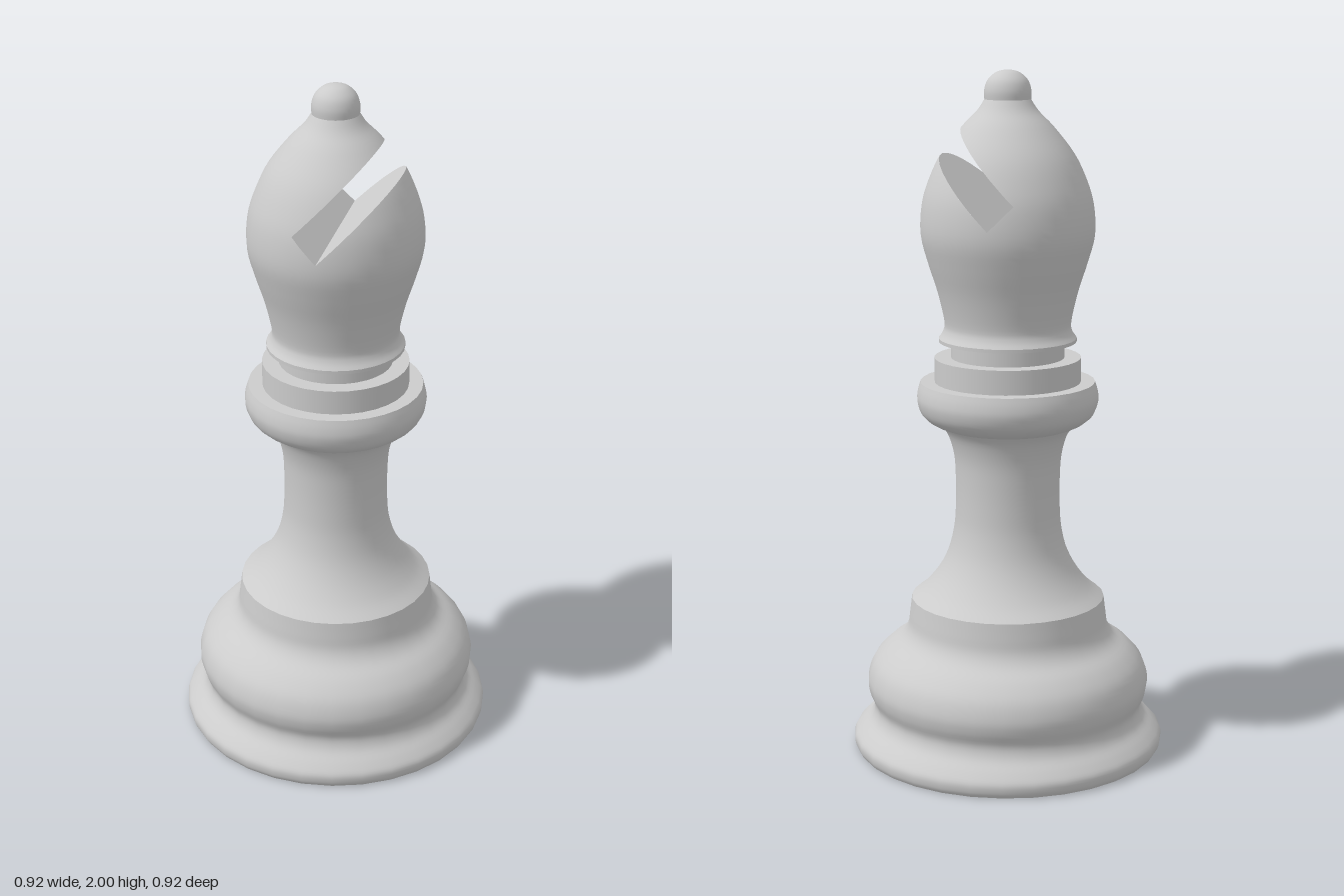
import * as THREE from 'three';
import { mergeGeometries } from 'three/addons/utils/BufferGeometryUtils.js';

const SIDES = 32;
const material = new THREE.MeshStandardMaterial({ color: 0xcccccc });

// Smooth curve through [radius, height] points; two points stay a straight line
function profile(pts, div = 4) {
  const v = pts.map(([r, y]) => new THREE.Vector2(r, y));
  if (v.length === 2) return v;
  const out = new THREE.SplineCurve(v).getPoints((v.length - 1) * div);
  out.forEach((p) => { p.x = Math.max(p.x, 0); });
  return out;
}

function lathe(points) {
  const g = new THREE.LatheGeometry(points, SIDES).toNonIndexed();
  g.deleteAttribute('uv');
  return g;
}

// A turned part: each run of points is smooth, with a crease between runs
function turned(name, runs) {
  const mesh = new THREE.Mesh(mergeGeometries(runs.map((r) => lathe(profile(r)))), material);
  mesh.name = name;
  return mesh;
}

// Head outline, from its lower lip to below the finial
const headLine = profile([
  [0.2, 1.235], [0.187, 1.255], [0.184, 1.285], [0.203, 1.37], [0.23, 1.455], [0.25, 1.535],
  [0.246, 1.62], [0.226, 1.69], [0.19, 1.765], [0.132, 1.84], [0.088, 1.885], [0.066, 1.918],
]);

function headRadius(y) {
  for (let i = 1; i < headLine.length; i++) {
    const a = headLine[i - 1], b = headLine[i];
    if (y <= b.y) return a.x + (b.x - a.x) * (y - a.y) / (b.y - a.y);
  }
  return 0;
}

// Half depth in z of the many-sided head at a point (x, y)
function halfDepth(x, y) {
  const c = x / headRadius(y), step = 2 * Math.PI / SIDES;
  if (!(Math.abs(c) < 1)) return 0;
  const a = Math.floor(Math.acos(c) / step) * step, b = a + step;
  const t = (c - Math.cos(a)) / (Math.cos(b) - Math.cos(a));
  return headRadius(y) * (Math.sin(a) + (Math.sin(b) - Math.sin(a)) * t);
}

// Slot edges: the walls are y - x = LOW and y - x = HIGH, the end is x + y = END
const LOW = 1.57, HIGH = 1.71, END = 1.57;
const aboveHigh = (p) => p[1] - p[0] - HIGH;
const belowLow = (p) => LOW - p[1] + p[0];
const behindEnd = (p) => END - p[0] - p[1];
const not = (f) => (p) => -f(p);

// Keep the part of a polygon where f >= 0; corners hold position and normal
function clip(poly, f) {
  const out = [];
  poly.forEach((p, i) => {
    const q = poly[(i + 1) % poly.length], a = f(p), b = f(q);
    if (a >= 0) out.push(p);
    if ((a > 0 && b < 0) || (a < 0 && b > 0)) out.push(p.map((v, k) => v + (q[k] - v) * a / (a - b)));
  });
  return out;
}

// Cut the slot out of a surface
function cutSlot(geo) {
  const P = geo.attributes.position, N = geo.attributes.normal, pos = [], nor = [];
  const regions = [[aboveHigh], [belowLow], [not(aboveHigh), not(belowLow), behindEnd]];
  for (let i = 0; i < P.count; i += 3) {
    const tri = [i, i + 1, i + 2].map((k) =>
      [P.getX(k), P.getY(k), P.getZ(k), N.getX(k), N.getY(k), N.getZ(k)]);
    for (const planes of regions) {
      const poly = planes.reduce(clip, tri);
      for (let k = 2; k < poly.length; k++) {
        for (const c of [poly[0], poly[k - 1], poly[k]]) {
          pos.push(...c.slice(0, 3));
          nor.push(...c.slice(3));
        }
      }
    }
  }
  const g = new THREE.BufferGeometry();
  g.setAttribute('position', new THREE.Float32BufferAttribute(pos, 3));
  g.setAttribute('normal', new THREE.Float32BufferAttribute(nor, 3));
  return g;
}

// Flat slot wall starting at (x, y) and running along (dx, dy) for a given length
function slotWall(x, y, dx, dy, length, flip) {
  const n = 32, pos = [];
  const row = (i) => {
    const s = length * Math.sin(i / n * Math.PI / 2);
    const px = x + dx * s, py = y + dy * s, z = halfDepth(px, py);
    return [[px, py, -z], [px, py, z]];
  };
  for (let i = 0; i < n; i++) {
    const [a, d] = row(i), [b, c] = row(i + 1);
    pos.push(...(flip ? [a, c, d, a, b, c] : [a, d, c, a, c, b]).flat());
  }
  const g = new THREE.BufferGeometry();
  g.setAttribute('position', new THREE.Float32BufferAttribute(pos, 3));
  g.computeVertexNormals();
  return g;
}

// Distance along the diagonal (1, 1) at which it leaves the head
function reach(x, y) {
  let lo = 0, hi = 0.4;
  for (let i = 0; i < 40; i++) {
    const m = (lo + hi) / 2;
    if (x + m < headRadius(y + m)) lo = m; else hi = m;
  }
  return lo;
}

function createHead() {
  const xLow = (END - LOW) / 2, yLow = (END + LOW) / 2;
  const xHigh = (END - HIGH) / 2, yHigh = (END + HIGH) / 2;
  const mesh = new THREE.Mesh(mergeGeometries([
    cutSlot(lathe(headLine)),
    lathe(profile([[0.15, 1.225], [0.2, 1.225]])),
    lathe(profile([[0.2, 1.225], [0.2, 1.235]])),
    slotWall(xLow, yLow, 1, 1, reach(xLow, yLow), false),
    slotWall(xHigh, yHigh, 1, 1, reach(xHigh, yHigh), true),
    slotWall(xHigh, yHigh, 1, -1, xLow - xHigh, false),
  ]), material);
  mesh.name = 'slottedHead';
  return mesh;
}

export function createModel() {
  const group = new THREE.Group();
  group.name = 'chessBishop';
  group.add(
    turned('base', [
      [[0, 0], [0.452, 0]],
      [[0.452, 0], [0.46, 0.015], [0.46, 0.04], [0.44, 0.065], [0.41, 0.095], [0.4, 0.13], [0.414, 0.17],
        [0.418, 0.21], [0.402, 0.26], [0.365, 0.302], [0.32, 0.335], [0.298, 0.368], [0.291, 0.41], [0.285, 0.457]],
    ]),
    turned('stem', [
      [[0.285, 0.457], [0.245, 0.49], [0.205, 0.54], [0.175, 0.6], [0.158, 0.67], [0.153, 0.74],
        [0.153, 0.82], [0.158, 0.89], [0.175, 0.95], [0.2, 0.985]],
    ]),
    turned('collar', [
      [[0.19, 0.975], [0.225, 0.99], [0.252, 1.015], [0.264, 1.05], [0.262, 1.08], [0.254, 1.107]],
      [[0.254, 1.107], [0.2, 1.107]],
    ]),
    turned('upperRing', [
      [[0.213, 1.107], [0.213, 1.178]],
      [[0.213, 1.178], [0.15, 1.178]],
    ]),
    turned('neck', [[[0.165, 1.178], [0.165, 1.225]]]),
    createHead(),
    turned('finial', [
      [[0.066, 1.915], [0.067, 1.942], [0.058, 1.97], [0.038, 1.99], [0.018, 1.998], [0, 2]],
    ]),
  );
  return group;
}
